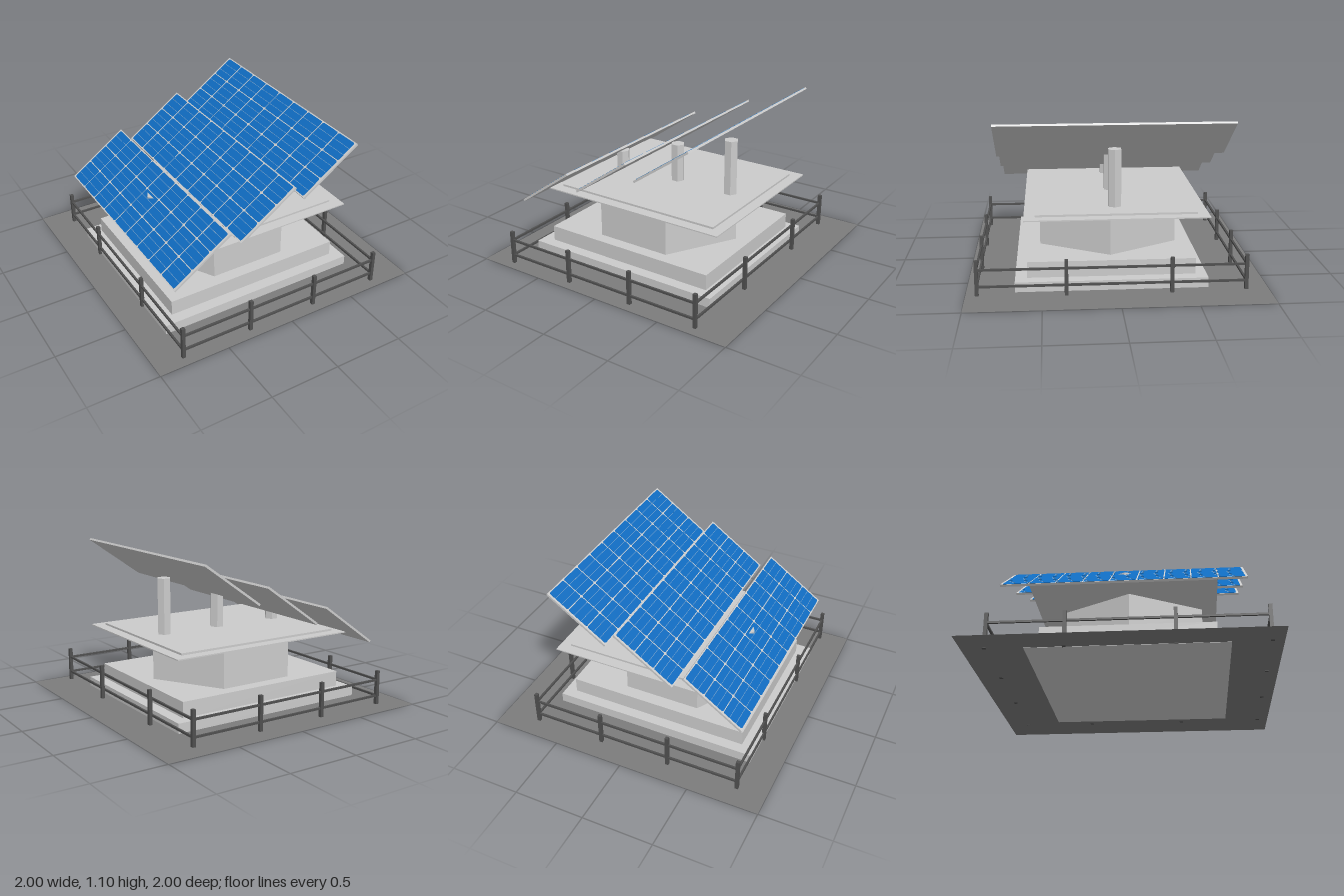
import * as THREE from 'three';

const mat = (color) => new THREE.MeshStandardMaterial({ color, flatShading: true });

export function createModel() {
  const model = new THREE.Group();
  const grey = mat(0xcccccc), dark = mat(0x505050), blue = mat(0x0f6bbf), line = mat(0x8fa9c4);
  const groundMat = mat(0x7c7c7c);
  groundMat.side = THREE.DoubleSide;

  const add = (parent, name, geo, material, x, y, z) => {
    const mesh = new THREE.Mesh(geo, material);
    mesh.name = name;
    mesh.position.set(x, y, z);
    parent.add(mesh);
    return mesh;
  };
  // Box given by its extents on each axis
  const block = (parent, name, material, [x0, x1], [y0, y1], [z0, z1]) =>
    add(parent, name, new THREE.BoxGeometry(x1 - x0, y1 - y0, z1 - z0), material,
      (x0 + x1) / 2, (y0 + y1) / 2, (z0 + z1) / 2);
  // Upright hexagonal prism with corners pointing along x
  const hexagon = (parent, name, r, y0, y1, x, z) =>
    add(parent, name, new THREE.CylinderGeometry(r, r, y1 - y0, 6, 1, false, Math.PI / 6), grey,
      x, (y0 + y1) / 2, z);

  // Ground sheet
  add(model, 'ground', new THREE.PlaneGeometry(2, 2).rotateX(-Math.PI / 2), groundMat, 0, 0.002, 0);

  // Stepped base, hexagonal body and two-layer roof
  block(model, 'lowerStep', grey, [-0.79, 0.69], [0, 0.07], [-0.605, 0.68]);
  block(model, 'upperStep', grey, [-0.70, 0.61], [0.07, 0.18], [-0.53, 0.60]);
  hexagon(model, 'body', 0.55, 0.18, 0.448, -0.045, 0.037);
  block(model, 'roofPlate', grey, [-0.705, 0.695], [0.484, 0.492], [-0.61, 0.615]);
  block(model, 'roofTop', grey, [-0.637, 0.62], [0.492, 0.506], [-0.535, 0.54]);

  // Masts that carry the panels
  [[-0.505, 0.63], [-0.01, 0.783], [0.43, 0.90]].forEach(([x, top]) =>
    hexagon(model, 'mast', 0.05, 0.5, top, x, 0.004));

  // Cell outline with clipped corners
  const a = 0.0785, b = 0.0825, c = 0.008;
  const outline = [[-a + c, -b], [a - c, -b], [a, -b + c], [a, b - c],
    [a - c, b], [-a + c, b], [-a, b - c], [-a, -b + c]].map(([x, y]) => new THREE.Vector2(x, y));
  const cellGeo = new THREE.ExtrudeGeometry(new THREE.Shape(outline), { depth: 0.0015, bevelEnabled: false })
    .rotateX(-Math.PI / 2);
  const busbarGeo = new THREE.BoxGeometry(0.0025, 0.001, 1.55);

  // Tilted solar panels, three by nine cells each
  [[-0.574, 0.587], [-0.084, 0.773], [0.393, 0.955]].forEach(([x, y]) => {
    const panel = new THREE.Group();
    panel.name = 'solarPanel';
    panel.position.set(x, y, 0.01);
    panel.rotation.z = THREE.MathUtils.degToRad(35);
    add(panel, 'panelFrame', new THREE.BoxGeometry(0.5, 0.015, 1.585), grey, 0, 0, 0);
    for (let i = -1; i <= 1; i++) {
      for (let j = -4; j <= 4; j++) add(panel, 'solarCell', cellGeo, blue, i * 0.163, 0.0075, j * 0.1735);
      for (const s of [-1, 1]) add(panel, 'busbar', busbarGeo, line, i * 0.163 + s * 0.028, 0.0088, 0);
    }
    model.add(panel);
  });

  // Fence: posts on all four sides
  const fence = new THREE.Group();
  fence.name = 'fence';
  model.add(fence);
  const left = 0.735, right = -0.795, back = -0.85, front = 0.925;
  const postGeo = new THREE.BoxGeometry(0.024, 0.244, 0.024);
  const post = (x, z) => add(fence, 'fencePost', postGeo, dark, x, 0.122, z);
  for (const z of [back, front]) for (let i = 0; i < 4; i++) post(right + i * 0.51, z);
  for (const z of [-0.352, 0.342]) {
    post(right, z);
    post(0.755, z);
  }

  // Fence: two rails on each side
  const t = 0.007;
  for (const y of [0.063, 0.178]) {
    for (const z of [back, front]) block(fence, 'fenceRail', dark, [right, left], [y - t, y + t], [z - t, z + t]);
    for (const x of [right, left]) block(fence, 'fenceRail', dark, [x - t, x + t], [y - t, y + t], [back, front]);
  }
  return model;
}
